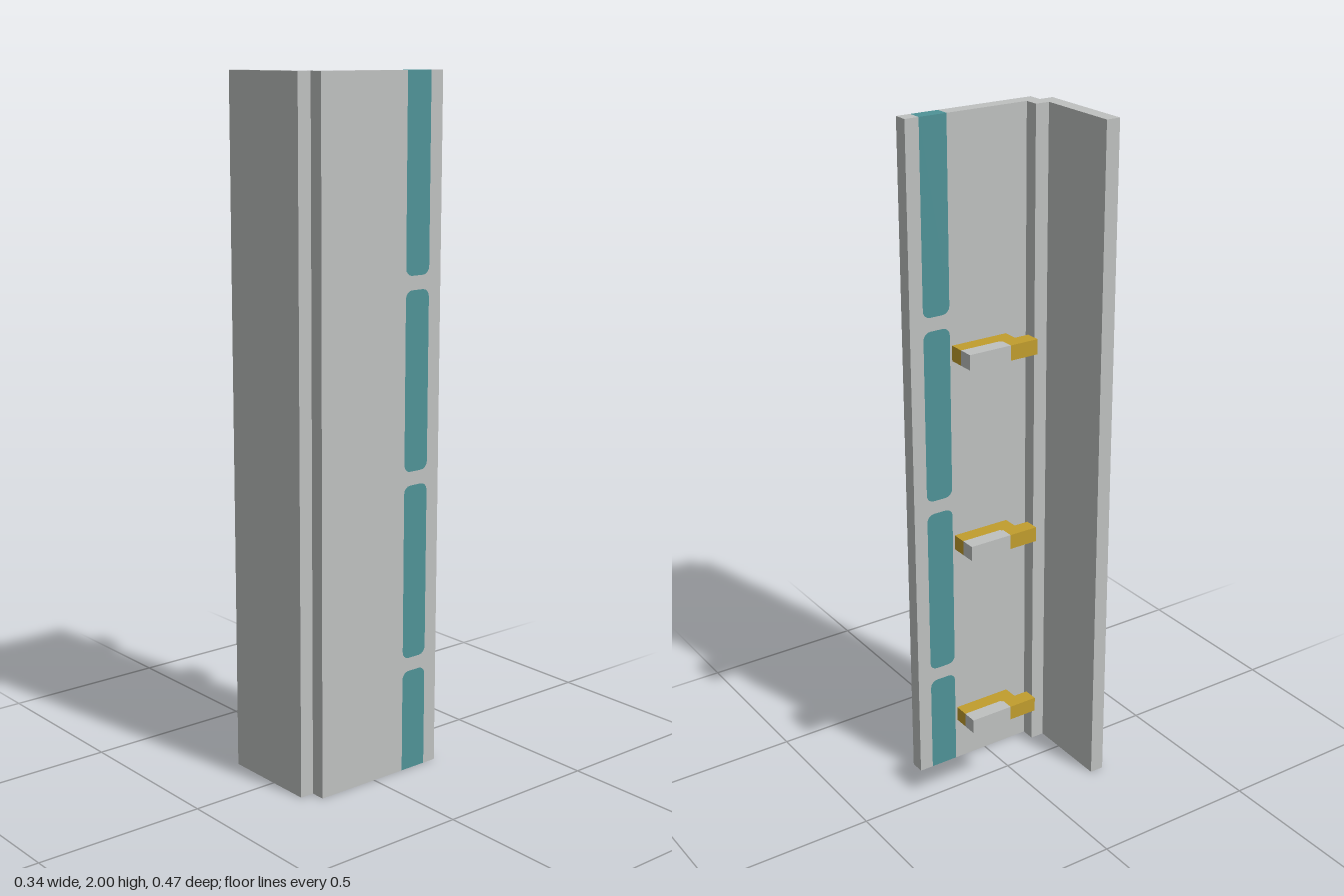
import * as THREE from 'three';

const U = 2 / 47; // grid unit: 47 units tall, 8 wide, 11 deep

const grey = new THREE.MeshStandardMaterial({ name: 'lightGrey', color: 0xbfc1c0 });
const teal = new THREE.MeshStandardMaterial({ name: 'teal', color: 0x4f9397 });
const gold = new THREE.MeshStandardMaterial({ name: 'gold', color: 0xc19d2d });

function mesh(name, geometry, material) {
  const m = new THREE.Mesh(geometry, material);
  m.name = name;
  return m;
}

// Box from its limits in grid units
function box(name, x0, x1, y0, y1, z0, z1, material) {
  const g = new THREE.BoxGeometry((x1 - x0) * U, (y1 - y0) * U, (z1 - z0) * U);
  g.translate((x0 + x1) / 2 * U, (y0 + y1) / 2 * U, (z0 + z1) / 2 * U);
  return mesh(name, g, material);
}

function extrude(points) {
  const shape = new THREE.Shape(points.map(([x, y]) => new THREE.Vector2(x, y)));
  return new THREE.ExtrudeGeometry(shape, { depth: U, bevelEnabled: false });
}

// Edge across the stripe; dir 1 rounds downward, -1 upward, 0 is straight
function stripeEdge(y, dir) {
  const a = 2.5 * U, b = 4.5 * U, r = 0.022;
  if (dir === 0) return [[a, y], [b, y]];
  const half = [[0, r], [0.08 * r, 0.6 * r], [0.3 * r, 0.3 * r], [0.6 * r, 0.08 * r], [r, 0]];
  return [
    ...half.map(([x, d]) => [a + x, y - dir * d]),
    ...half.slice().reverse().map(([x, d]) => [b - x, y - dir * d]),
  ];
}

export function createModel() {
  const model = new THREE.Group();
  model.name = 'cornerColumn';

  // Front panel and inner corner post
  model.add(box('frontPanel', -4, 3, 0, 47, 4.5, 5.5, grey));
  model.add(box('cornerPost', 2, 3, 0, 47, 3.5, 4.5, grey));

  // Side panel, with a coloured stripe running through its thickness
  const side = new THREE.Group();
  side.name = 'sidePanel';
  side.add(box('sideWall', 3, 4, 0, 47, -2.5, 4.5, grey));
  side.add(box('sideRearEdge', 3, 4, 0, 47, -5.5, -4.5, grey));
  const gaps = [7, 20, 33];
  const edges = [stripeEdge(0, 0)];
  for (const row of gaps) {
    const mid = (row + 0.5) * U + 0.003;
    edges.push(stripeEdge(mid - 0.02, 1), stripeEdge(mid + 0.02, -1));
  }
  edges.push(stripeEdge(2, 0));
  for (let i = 0; i < edges.length - 1; i++) {
    const g = extrude([...edges[i], ...edges[i + 1].slice().reverse()]);
    g.rotateY(Math.PI / 2).translate(3 * U, 0, 0);
    const isStripe = i % 2 === 0;
    side.add(mesh(isStripe ? 'stripe' : 'stripeGap', g, isStripe ? teal : grey));
  }
  model.add(side);

  // Three floating clips level with the stripe gaps: grey core, gold surround
  const n = 0.12; // small notch at the core's inner corner
  const core = [[-4, 2.5], [-3 - n, 2.5], [-3 - n, 2.5 + n], [-3, 2.5 + n], [-3, 5.5], [-4, 5.5]];
  const surround = [
    [-4, 0.5], [-3, 0.5], [-3, 1.5], [-2, 1.5], [-2, 5.5], [-3, 5.5],
    [-3, 2.5 + n], [-3 - n, 2.5 + n], [-3 - n, 2.5], [-4, 2.5],
  ];
  for (const row of gaps) {
    const clip = new THREE.Group();
    clip.name = 'clip';
    for (const [name, outline, material] of [['clipCore', core, grey], ['clipSurround', surround, gold]]) {
      const g = extrude(outline.map(([x, y]) => [x * U, y * U]));
      clip.add(mesh(name, g.rotateX(-Math.PI / 2), material));
    }
    clip.position.y = row * U;
    model.add(clip);
  }
  return model;
}
